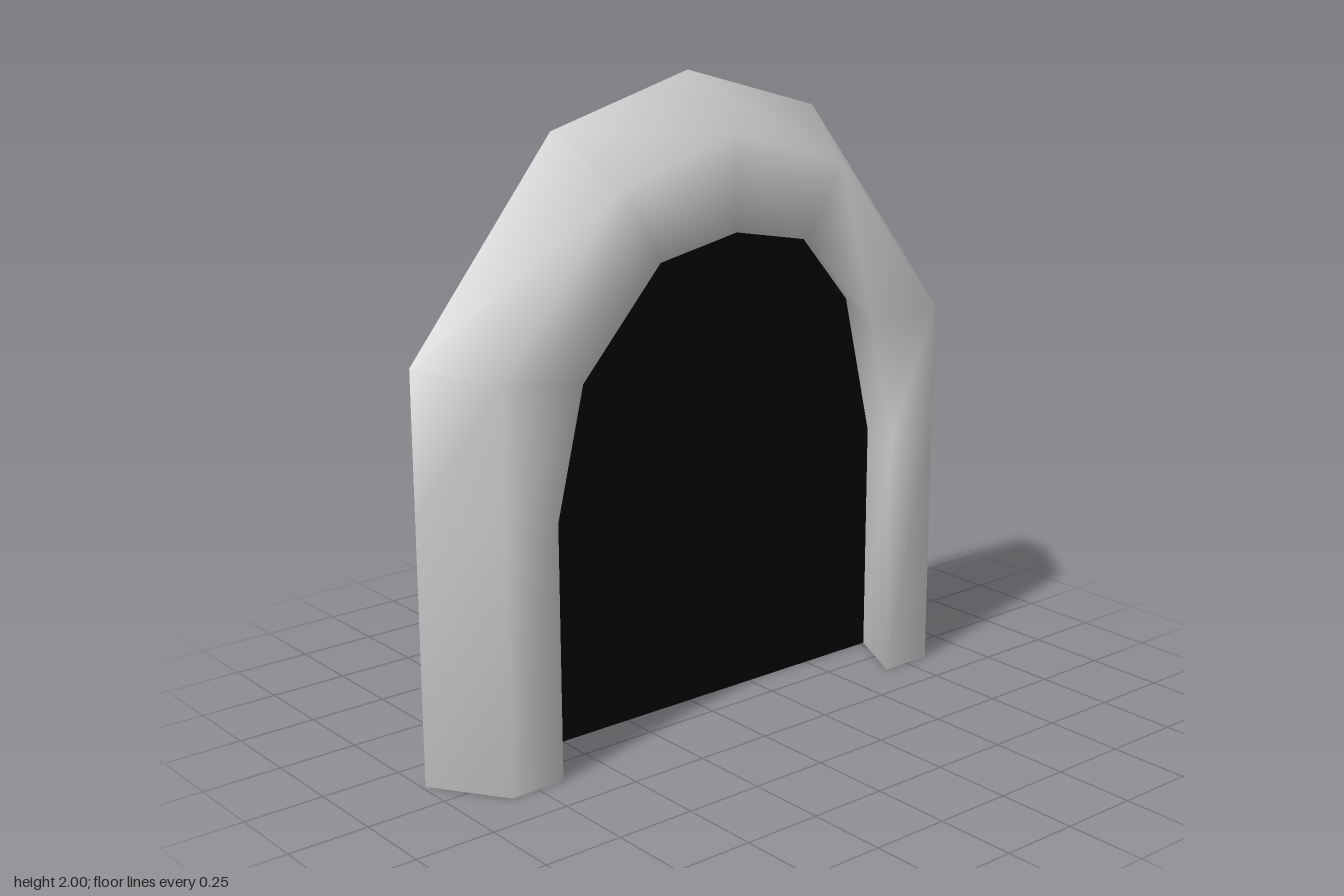
import * as THREE from 'three';

const BACK = -0.115, FRONT = 0.11;

// Half profiles as [z, y], from the foot of one leg up to the crown
const outerBack = [[0.99, 0], [0.99, 0.8], [0.99, 1.25], [0.5, 1.86], [0, 2]];
const outerFront = [[0.84, 0], [0.84, 0.79], [0.84, 1.21], [0.42, 1.71], [0, 1.84]];
const innerFront = [[0.66, 0], [0.66, 0.79], [0.565, 1.18], [0.285, 1.49], [0, 1.545]];
const innerBack = [[0.77, 0], [0.77, 0.76], [0.66, 1.22], [0.33, 1.6], [0, 1.67]];

// Mirror a half profile across the crown
function mirrored(half) {
  return [...half, ...half.slice(0, -1).reverse().map(([z, y]) => [-z, y])];
}

// Arch surround: tapered outer side, front face and flared reveal, hollow at the back
function surroundGeometry() {
  const rings = [[outerBack, BACK], [outerFront, FRONT], [innerFront, FRONT], [innerBack, BACK]];
  const positions = [], index = [];
  for (const [half, x] of rings) {
    for (const [z, y] of mirrored(half)) positions.push(x, y, z);
  }
  const n = outerBack.length * 2 - 1;
  for (let r = 0; r < rings.length - 1; r++) {
    for (let i = 0; i < n - 1; i++) {
      const a = r * n + i, b = a + n;
      index.push(a, b, b + 1, a, b + 1, a + 1);
    }
  }
  // soles of the two legs
  const e = n - 1;
  index.push(0, 2 * n, n, 0, 3 * n, 2 * n);
  index.push(e, e + n, e + 2 * n, e, e + 2 * n, e + 3 * n);

  const geometry = new THREE.BufferGeometry();
  geometry.setAttribute('position', new THREE.Float32BufferAttribute(positions, 3));
  geometry.setIndex(index);
  geometry.computeVertexNormals();
  return geometry;
}

export function createModel() {
  const group = new THREE.Group();
  group.name = 'archway';

  const surround = new THREE.Mesh(
    surroundGeometry(),
    new THREE.MeshStandardMaterial({ color: 0xcccccc, side: THREE.DoubleSide })
  );
  surround.name = 'archSurround';
  group.add(surround);

  // Dark panel closing the opening at the back
  const shape = new THREE.Shape(mirrored(innerBack).map(([z, y]) => new THREE.Vector2(z, y)));
  const panel = new THREE.Mesh(
    new THREE.ShapeGeometry(shape).rotateY(-Math.PI / 2).translate(BACK, 0, 0),
    new THREE.MeshStandardMaterial({ color: 0x050505, side: THREE.DoubleSide })
  );
  panel.name = 'darkOpening';
  group.add(panel);

  return group;
}
